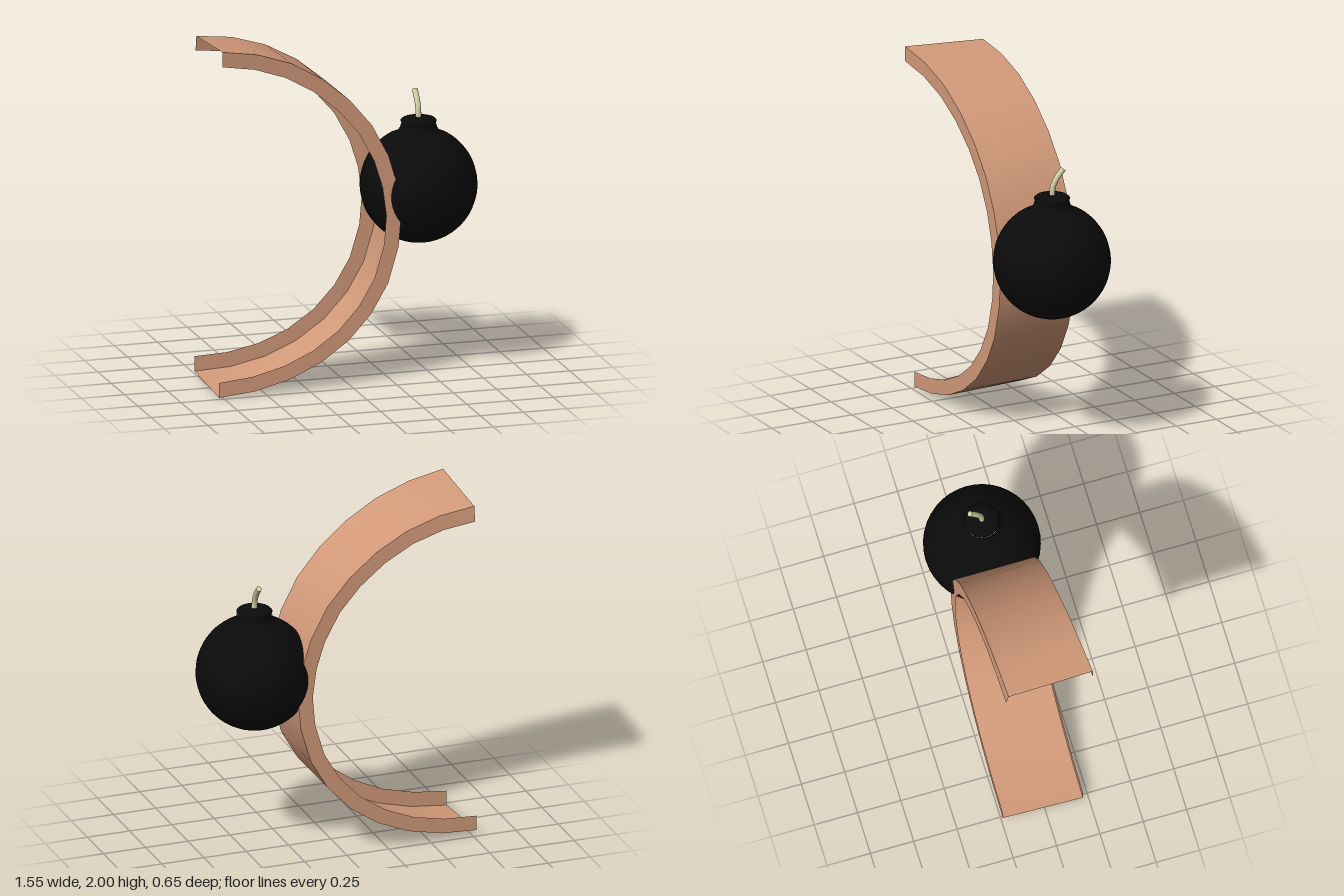
import * as THREE from 'three';

const copper = new THREE.MeshStandardMaterial({ color: 0xd39a7a, side: THREE.DoubleSide });
const black = new THREE.MeshStandardMaterial({ color: 0x0b0b0b });
const cord = new THREE.MeshStandardMaterial({ color: 0xcfcfa6 });

// Front rim of the band, from its upper end round to its lower end
const rim = [
  [-0.77, 2.0], [-0.56, 1.965], [-0.36, 1.895], [-0.18, 1.79], [-0.02, 1.655], [0.11, 1.5],
  [0.205, 1.32], [0.257, 1.15], [0.28, 0.97], [0.265, 0.79], [0.205, 0.585], [0.11, 0.42],
  [-0.02, 0.275], [-0.18, 0.16], [-0.36, 0.077], [-0.56, 0.025], [-0.77, 0.003],
];
const centre = new THREE.Vector2(-0.77, 1);

// Rim point moved towards the centre of the arc
function inward([x, y], amount, z) {
  const p = new THREE.Vector2(x, y);
  p.addScaledVector(centre.clone().sub(p).normalize(), amount);
  return new THREE.Vector3(p.x, p.y, z);
}

// Four corners of the channel section at each station, slightly twisted at the ends
const sections = rim.map((point, i) => {
  const t = 1 - i / 8; // 1 at the upper end, -1 at the lower end
  const twist = 0.033 * Math.abs(t) ** 3;
  const top = Math.max(t, 0) ** 3;
  const low = Math.max(-t, 0);
  const front = 0.232 + 0.046 * top - 0.012 * low;
  const back = -0.23 + 0.022 * top - 0.012 * low;
  return [
    inward(point, 0.086, front),
    inward(point, 0, front),
    inward(point, twist, back),
    inward(point, twist + 0.086, back - 0.015 * top),
  ];
});

// Ribbon between two corner lines, smooth along its length
function ribbon(name, a, b) {
  const positions = [];
  const index = [];
  sections.forEach((s, i) => {
    positions.push(...s[a].toArray(), ...s[b].toArray());
    if (i > 0) {
      const k = 2 * i;
      index.push(k - 2, k, k - 1, k - 1, k, k + 1);
    }
  });
  const geometry = new THREE.BufferGeometry();
  geometry.setAttribute('position', new THREE.Float32BufferAttribute(positions, 3));
  geometry.setIndex(index);
  geometry.computeVertexNormals();
  const mesh = new THREE.Mesh(geometry, copper);
  mesh.name = name;
  return mesh;
}

export function createModel() {
  const model = new THREE.Group();
  model.name = 'bombOnBand';

  // Open channel band: outer web with two inward flanges
  const band = new THREE.Group();
  band.name = 'band';
  band.add(ribbon('frontFlange', 0, 1), ribbon('web', 1, 2), ribbon('backFlange', 2, 3));
  model.add(band);

  const bomb = new THREE.Group();
  bomb.name = 'bomb';
  bomb.position.set(0.452, 1.075, 0);
  model.add(bomb);

  // Round body flowing into a flared neck
  const profile = [];
  const radius = 0.326;
  const end = Math.PI - 0.56;
  for (let i = 0; i <= 24; i++) {
    const a = (i / 24) * end;
    profile.push(new THREE.Vector2(radius * Math.sin(a), -radius * Math.cos(a)));
  }
  for (const [r, y] of [[0.135, 0.293], [0.115, 0.306], [0.103, 0.325], [0.097, 0.35]])
    profile.push(new THREE.Vector2(r, y));
  const body = new THREE.Mesh(new THREE.LatheGeometry(profile, 40), black);
  body.name = 'body';
  bomb.add(body);

  // Slightly domed cap on the neck
  const capProfile = [[0.094, 0.345], [0.1, 0.366], [0.09, 0.376], [0.06, 0.384], [0, 0.386]];
  const cap = new THREE.Mesh(
    new THREE.LatheGeometry(capProfile.map(([r, y]) => new THREE.Vector2(r, y)), 40), black);
  cap.name = 'cap';
  bomb.add(cap);

  // Fuse bending towards the back, with a flat tip
  const path = new THREE.CatmullRomCurve3([
    new THREE.Vector3(0, 0.37, 0),
    new THREE.Vector3(0, 0.43, -0.006),
    new THREE.Vector3(0, 0.475, -0.028),
    new THREE.Vector3(0, 0.525, -0.07),
  ]);
  const fuse = new THREE.Mesh(new THREE.TubeGeometry(path, 14, 0.016, 12), cord);
  fuse.name = 'fuse';
  const tip = new THREE.Mesh(new THREE.CircleGeometry(0.016, 12), cord);
  tip.name = 'fuseTip';
  tip.position.copy(path.getPoint(1));
  tip.quaternion.setFromUnitVectors(new THREE.Vector3(0, 0, 1), path.getTangent(1));
  bomb.add(fuse, tip);

  return model;
}
